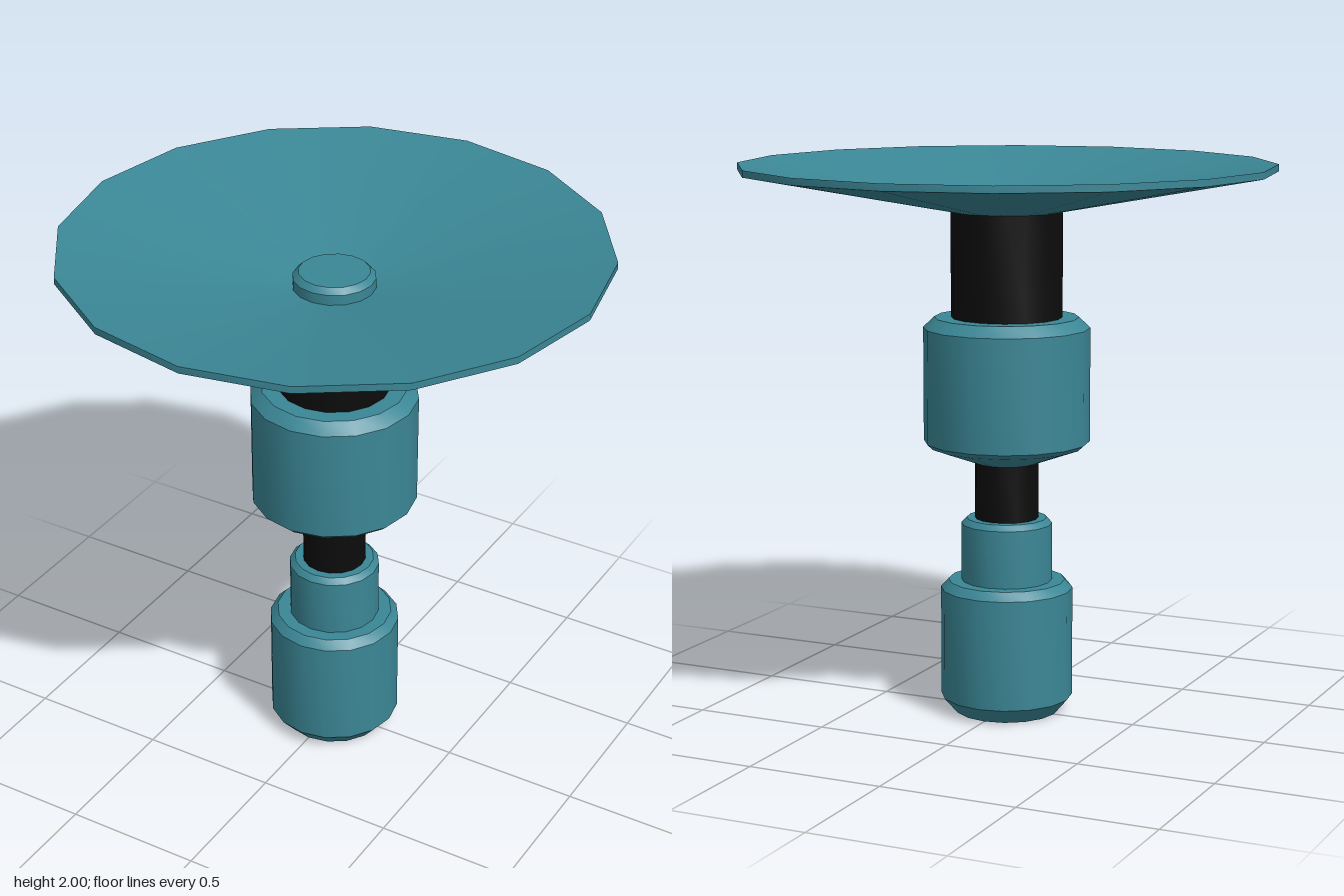
import * as THREE from 'three';
import { toCreasedNormals } from 'three/addons/utils/BufferGeometryUtils.js';

const SIDES = 16;

export function createModel() {
  const group = new THREE.Group();
  const teal = new THREE.MeshStandardMaterial({ name: 'teal', color: 0x3b8796 });
  const black = new THREE.MeshStandardMaterial({ name: 'black', color: 0x0c0c0c });

  // Turned part from [radius, height] pairs, listed from the bottom up
  function turn(name, material, profile) {
    const points = profile.map(([r, y]) => new THREE.Vector2(r, y));
    const geometry = toCreasedNormals(new THREE.LatheGeometry(points, SIDES), 0.5);
    const mesh = new THREE.Mesh(geometry, material);
    mesh.name = name;
    group.add(mesh);
  }

  // Bevelled base and the narrower neck on it
  turn('base', teal, [[0, 0], [0.19, 0], [0.24, 0.058], [0.24, 0.46], [0.212, 0.49], [0, 0.49]]);
  turn('neck', teal, [[0.165, 0.48], [0.165, 0.70], [0.145, 0.72], [0, 0.72]]);

  // Dark shafts joining the teal parts
  turn('lowerShaft', black, [[0.115, 0.71], [0.115, 0.94]]);
  turn('upperShaft', black, [[0.2, 1.44], [0.2, 1.835]]);

  // Wide collar with a tapered underside
  turn('collar', teal, [
    [0, 0.925], [0.115, 0.925], [0.28, 0.985], [0.3, 1.003],
    [0.3, 1.415], [0.26, 1.453], [0, 1.453],
  ]);

  // Shallow conical dish with a thin rim, and its centre knob
  turn('dish', teal, [[0.19, 1.83], [0.96, 1.975], [0.96, 2], [0.14, 1.842], [0, 1.815]]);
  turn('knob', teal, [[0.145, 1.82], [0.145, 1.88], [0.125, 1.9], [0, 1.9]]);

  return group;
}
